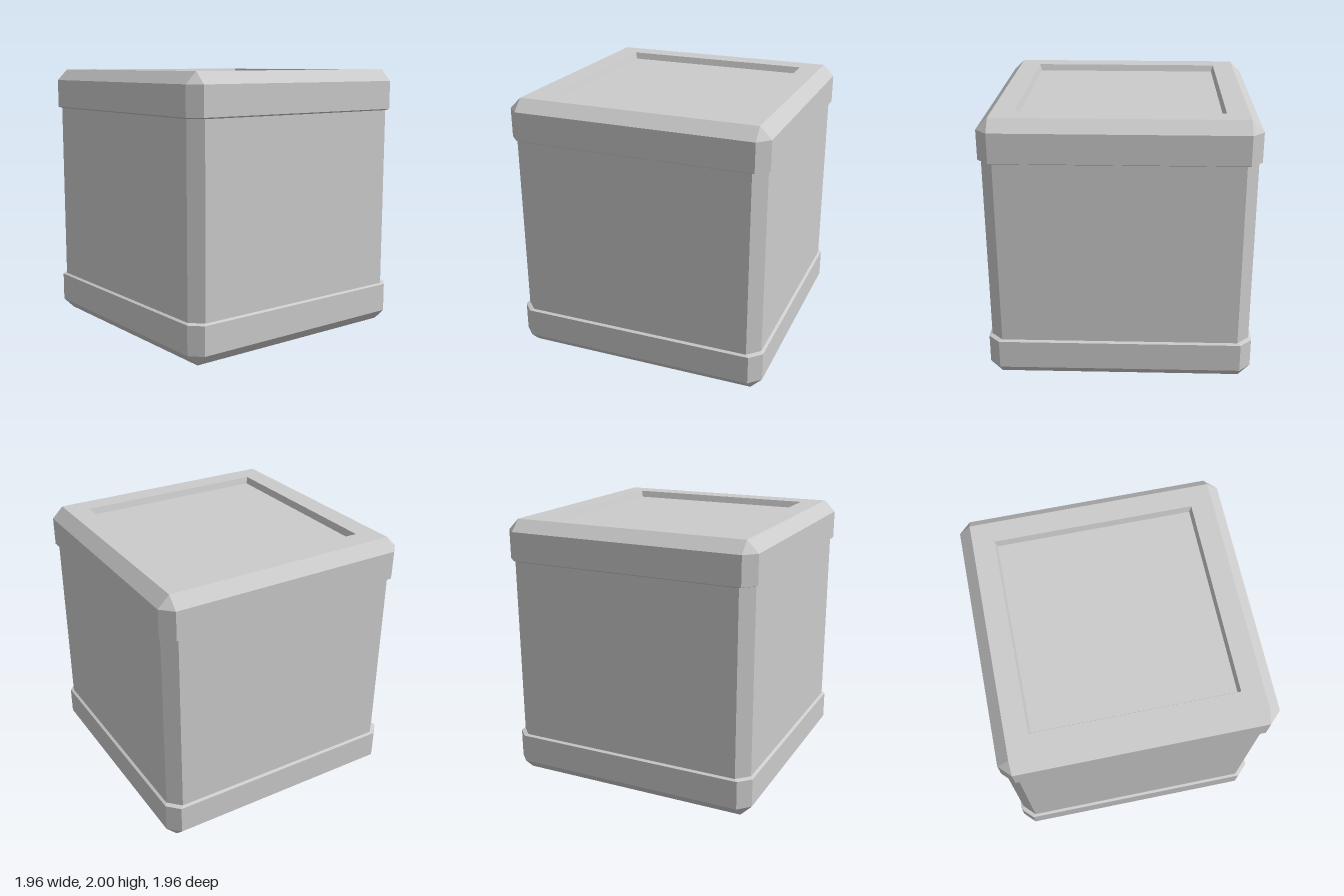
import * as THREE from 'three';

const material = new THREE.MeshStandardMaterial({ color: 0xcccccc, flatShading: true });

// Square ring of half-width h at height y, corners cut by c, counter-clockwise from above
function ring([y, h, c]) {
  const k = h - c;
  return [[h, k], [h, -k], [k, -h], [-k, -h], [-h, -k], [-h, k], [-k, h], [k, h]]
    .map(([x, z]) => new THREE.Vector3(x, y, z));
}

// Joins the rings of a profile [y, half-width, corner cut] into a flat-shaded skin
function loft(name, profile, { capStart = false, capEnd = false } = {}) {
  const rings = profile.map(ring);
  const points = [];
  const triangle = (a, b, c) => {
    const area = b.clone().sub(a).cross(c.clone().sub(a)).length();
    if (area > 1e-8) points.push(a, b, c);
  };
  for (let i = 0; i < rings.length - 1; i++) {
    const low = rings[i], high = rings[i + 1];
    for (let j = 0; j < 8; j++) {
      const n = (j + 1) % 8;
      triangle(low[j], low[n], high[n]);
      triangle(low[j], high[n], high[j]);
    }
  }
  const first = rings[0], last = rings[rings.length - 1];
  for (let j = 1; j < 7; j++) {
    if (capStart) triangle(first[0], first[j + 1], first[j]);
    if (capEnd) triangle(last[0], last[j], last[j + 1]);
  }
  const geometry = new THREE.BufferGeometry().setFromPoints(points);
  geometry.computeVertexNormals();
  const mesh = new THREE.Mesh(geometry, material);
  mesh.name = name;
  return mesh;
}

export function createModel() {
  const group = new THREE.Group();
  group.name = 'crate';

  // Rim: sloped lip, upright band, bevel, flat border and recessed panel
  const rim = [
    [1.69, 0.96, 0.088],
    [1.70, 0.98, 0.085],
    [1.915, 0.98, 0.085],
    [2, 0.895, 0],
    [2, 0.735, 0],
    [1.95, 0.72, 0],
  ];
  const mirroredRim = rim.map(([y, h, c]) => [2 - y, h, c]).reverse();

  group.add(
    loft('base', mirroredRim, { capStart: true }),
    loft('body', [[0.31, 0.96, 0.088], [1.69, 0.96, 0.088]]),
    loft('lid', rim, { capEnd: true }),
  );
  return group;
}
